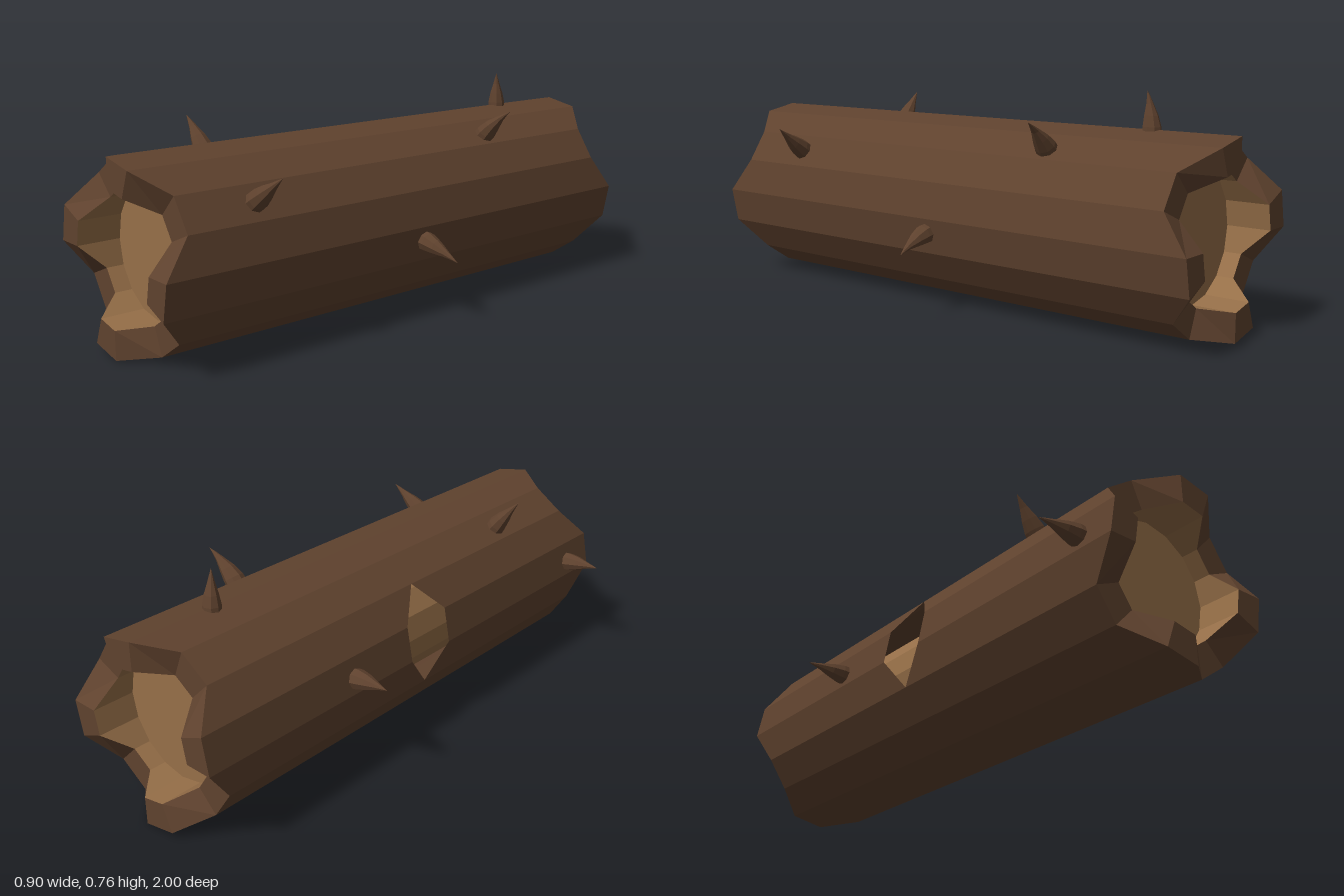
import * as THREE from 'three';

const SIDES = 16, OUTER = 0.319, INNER = 0.222, CY = 0.32, CAP = 0.85;

// Point on the log at column i (0 = top, clockwise seen from the front)
const ringPoint = (i, r, z) => {
  const a = (i / SIDES) * Math.PI * 2;
  return [Math.sin(a) * r, CY + Math.cos(a) * r, z];
};
// Jagged ends: two columns long, two columns short
const endZ = (i) => (i % 4 < 2 ? 1 : 0.91);
// Half width of the knot hole in the bark at column i
const holeZ = (i) => (i % SIDES === 12 || i % SIDES === 13 ? 0.1 : 0);

function quadMesh(name, quads, material) {
  const pos = [];
  for (const [a, b, c, d] of quads) pos.push(...a, ...b, ...c, ...a, ...c, ...d);
  const g = new THREE.BufferGeometry();
  g.setAttribute('position', new THREE.Float32BufferAttribute(pos, 3));
  g.computeVertexNormals();
  const m = new THREE.Mesh(g, material);
  m.name = name;
  return m;
}

// Tapered thorn that leaves the log radially and bends to its tip
function makeThorn(deg, z, tip, material, radius) {
  const a = THREE.MathUtils.degToRad(deg);
  const n = new THREE.Vector3(Math.sin(a), Math.cos(a), 0);
  const along = (r) => n.clone().multiplyScalar(r).add(new THREE.Vector3(0, CY, z));
  const curve = new THREE.QuadraticBezierCurve3(along(0.27), along(0.37), new THREE.Vector3(...tip));
  const side = new THREE.Vector3(n.y, -n.x, 0);
  const rows = [[0, 1], [0.3, 0.92], [0.5, 0.7], [0.72, 0.36], [0.87, 0.17], [1, 0]];
  const rings = rows.map(([t, k]) => {
    const c = curve.getPoint(t);
    return Array.from({ length: 9 }, (_, j) => {
      const w = (j / 8) * Math.PI * 2;
      const p = c.clone().addScaledVector(side, Math.cos(w) * radius * k);
      p.z += Math.sin(w) * radius * k;
      return p.toArray();
    });
  });
  const quads = [];
  for (let r = 0; r < rings.length - 1; r++)
    for (let j = 0; j < 8; j++)
      quads.push([rings[r][j + 1], rings[r][j], rings[r + 1][j], rings[r + 1][j + 1]]);
  return quadMesh('thorn', quads, material);
}

export function createModel() {
  const group = new THREE.Group();
  group.name = 'thornyLog';
  const bark = new THREE.MeshStandardMaterial({ color: 0x5f422e, flatShading: true, side: THREE.DoubleSide });
  bark.name = 'bark brown';
  const wood = new THREE.MeshStandardMaterial({ color: 0x966f48, flatShading: true, side: THREE.DoubleSide });
  wood.name = 'pale wood';

  // Bark shell, end rims and hollow walls, column by column
  const shell = [], rims = [], walls = [];
  for (let i = 0; i < SIDES; i++) {
    const j = i + 1;
    for (const s of [1, -1]) {
      const add = (list, a, b, c, d) => list.push(s > 0 ? [a, b, c, d] : [d, c, b, a]);
      const o0 = ringPoint(i, OUTER, s * endZ(i)), o1 = ringPoint(j, OUTER, s * endZ(j));
      const n0 = ringPoint(i, INNER, s * endZ(i)), n1 = ringPoint(j, INNER, s * endZ(j));
      add(shell, ringPoint(i, OUTER, s * holeZ(i)), o0, o1, ringPoint(j, OUTER, s * holeZ(j)));
      add(rims, o0, n0, n1, o1);
      add(walls, n0, ringPoint(i, INNER, s * CAP), ringPoint(j, INNER, s * CAP), n1);
    }
  }
  group.add(quadMesh('barkShell', shell, bark));
  group.add(quadMesh('endRims', rims, bark));
  group.add(quadMesh('hollowWalls', walls, wood));

  // Solid wood core, seen in both ends and through the knot hole
  const core = new THREE.Mesh(new THREE.CylinderGeometry(INNER, INNER, CAP * 2, SIDES), wood);
  core.name = 'woodCore';
  core.rotation.x = Math.PI / 2;
  core.position.y = CY;
  group.add(core);

  // Thorns: base angle, base z, tip, radius
  const thorns = [
    [-1, -0.69, [0.005, 0.762, -0.675], 0.033],
    [-35, 0.545, [-0.27, 0.69, 0.555], 0.037],
    [36, -0.42, [0.3, 0.667, -0.43], 0.038],
    [56, 0.65, [0.382, 0.585, 0.635], 0.038],
    [99, -0.01, [0.45, 0.218, -0.025], 0.036],
    [-81, -0.37, [-0.45, 0.385, -0.385], 0.037],
    [-81, 0.865, [-0.45, 0.385, 0.85], 0.037],
  ];
  for (const [deg, z, tip, r] of thorns) group.add(makeThorn(deg, z, tip, bark, r));
  return group;
}
